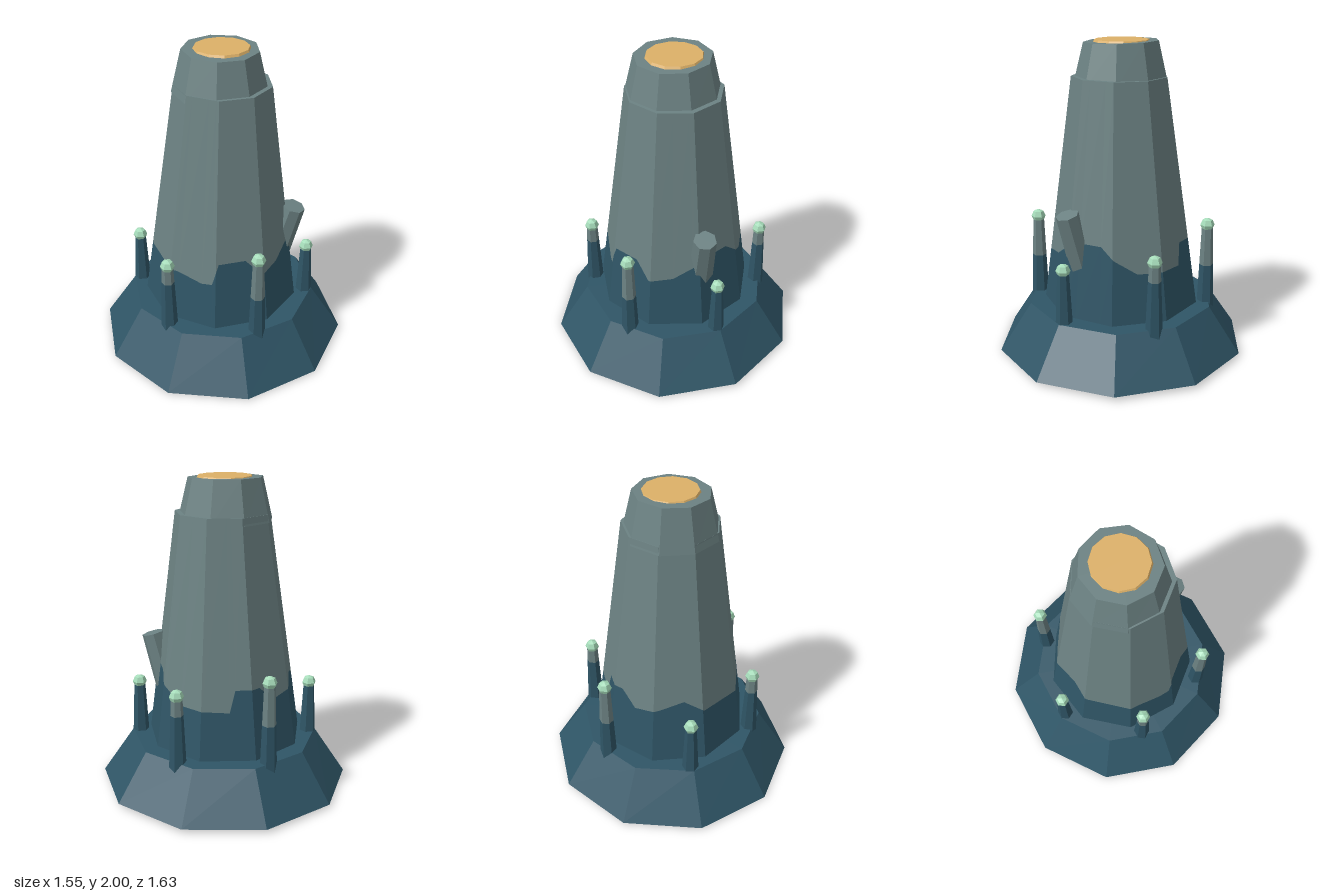
import * as THREE from 'three';

const mat = (name, color) => {
  const m = new THREE.MeshStandardMaterial({ color });
  m.name = name;
  return m;
};

// Split faces so every facet gets its own flat normal
function flat(geo) {
  const g = geo.index ? geo.toNonIndexed() : geo;
  g.computeVertexNormals();
  return g;
}

function add(parent, name, geo, material, x = 0, y = 0, z = 0) {
  const mesh = new THREE.Mesh(flat(geo), material);
  mesh.name = name;
  mesh.position.set(x, y, z);
  parent.add(mesh);
  return mesh;
}

// Tapered prism standing between two heights
function prism(rTop, rBottom, y0, y1, sides, turn = 0) {
  return new THREE.CylinderGeometry(rTop, rBottom, y1 - y0, sides)
    .rotateY(turn).translate(0, (y0 + y1) / 2, 0);
}

// Move vertices by a rule
function warp(geo, rule) {
  const p = geo.attributes.position, v = new THREE.Vector3();
  for (let i = 0; i < p.count; i++) {
    rule(v.fromBufferAttribute(p, i));
    p.setXYZ(i, v.x, v.y, v.z);
  }
  return geo;
}

// Height of the colour boundary by compass angle (0 = front, 90 = left side)
const tideLine = [
  [-180, 0.63], [-158, 0.62], [-153, 0.76], [-132, 0.76], [-118, 0.66], [-95, 0.7], [-75, 0.75],
  [-58, 0.67], [-13, 0.65], [8, 0.61], [17, 0.62], [22, 0.76], [45, 0.76], [58, 0.65], [78, 0.67],
  [95, 0.75], [110, 0.8], [130, 0.8], [142, 0.72], [160, 0.63], [180, 0.63],
];
function tideHeight(a) {
  const i = Math.max(1, tideLine.findIndex(([t]) => t >= a));
  const [a0, h0] = tideLine[i - 1], [a1, h1] = tideLine[i];
  return h0 + (h1 - h0) * (a - a0) / (a1 - a0);
}

// Point on the nine-sided tower wall
function wallPoint(a, y) {
  const r = 0.51 - (y - 0.3) * 0.141;
  const rad = THREE.MathUtils.degToRad;
  const d = r * Math.cos(rad(20)) / Math.cos(rad(((a + 180) % 40) - 20));
  const lean = (y - 1) * 0.01;
  return [d * Math.sin(rad(a)) + lean, y, d * Math.cos(rad(a)) - 0.005];
}

// Band of tower wall between two height rules, optionally closed on top
function wallBand(low, high, closed) {
  const corners = Array.from({ length: 9 }, (_, k) => -180 + 40 * k);
  const angles = [...new Set([...tideLine.map(([a]) => a), ...corners])].sort((p, q) => p - q);
  const pos = [];
  for (let i = 0; i + 1 < angles.length; i++) {
    const a = angles[i], b = angles[i + 1];
    const p = wallPoint(a, low(a)), q = wallPoint(b, low(b));
    const s = wallPoint(a, high(a)), t = wallPoint(b, high(b));
    pos.push(...p, ...q, ...t, ...p, ...t, ...s);
    if (closed) pos.push(...s, ...t, 0, high(a), 0);
  }
  const g = new THREE.BufferGeometry();
  g.setAttribute('position', new THREE.Float32BufferAttribute(pos, 3));
  return g;
}

export function createModel() {
  const teal = mat('deep teal', 0x2f5566);
  const stone = mat('grey stone', 0x6c8283);
  const gold = mat('warm gold', 0xdcb068);
  const mint = mat('pale mint', 0xa6dcba);
  const model = new THREE.Group();
  model.name = 'ventTower';

  // Wide ten-sided foot, its underside slightly tilted
  add(model, 'base', warp(prism(0.608, 0.815, 0, 0.32, 10), (v) => {
    if (v.y < 0.1) v.y += 0.013 - v.z * 0.016;
    v.z -= 0.006;
  }), teal);

  // Tapered tower in two colours
  add(model, 'towerLower', wallBand(() => 0.28, tideHeight, false), teal);
  add(model, 'towerUpper', wallBand(tideHeight, () => 1.78, true), stone);

  // Narrow crown with a slightly uneven rim
  add(model, 'crown', warp(prism(0.235, 0.298, 1.73, 1.99, 9, Math.PI), (v) => {
    if (v.y > 1.9) v.y -= v.x * 0.02 + v.z * 0.02;
    v.x -= 0.008;
  }), stone);

  // Glowing disc in the mouth
  add(model, 'mouthDisc', prism(0.168, 0.187, 1.965, 2, 12), gold, -0.005, 0, -0.008);

  // Broken side stub leaning outward
  const stub = add(model, 'sideStub', prism(0.073, 0.08, -0.36, 0, 7), stone, 0.455, 0.982, -0.105);
  stub.rotation.z = -0.27;

  // Ring of thin stalks with round tips: x, z, tip height
  const stalks = [
    [0.12, -0.555, 0.75], [-0.41, -0.39, 0.84], [-0.535, 0.155, 0.66],
    [-0.125, 0.53, 0.75], [0.41, 0.365, 0.84], [0.53, -0.175, 0.66],
  ];
  for (const [x, z, tip] of stalks) {
    const stalk = new THREE.Group();
    stalk.name = 'stalk';
    stalk.position.set(x, 0, z);
    model.add(stalk);
    const foot = 0.25;
    const split = tip > 0.8 ? 0.57 : tip > 0.7 ? 0.63 : tip;
    const radius = (y) => 0.056 - 0.021 * (y - foot) / (tip - foot);
    add(stalk, 'stalkLower', prism(radius(split), radius(foot), foot, split, 6), teal);
    if (split < tip) {
      add(stalk, 'stalkUpper', prism(radius(tip), radius(split), split, tip, 6), stone);
    }
    add(stalk, 'stalkTip', new THREE.SphereGeometry(0.046, 6, 4).rotateY(Math.PI / 6), mint, 0, tip, 0);
  }
  return model;
}
